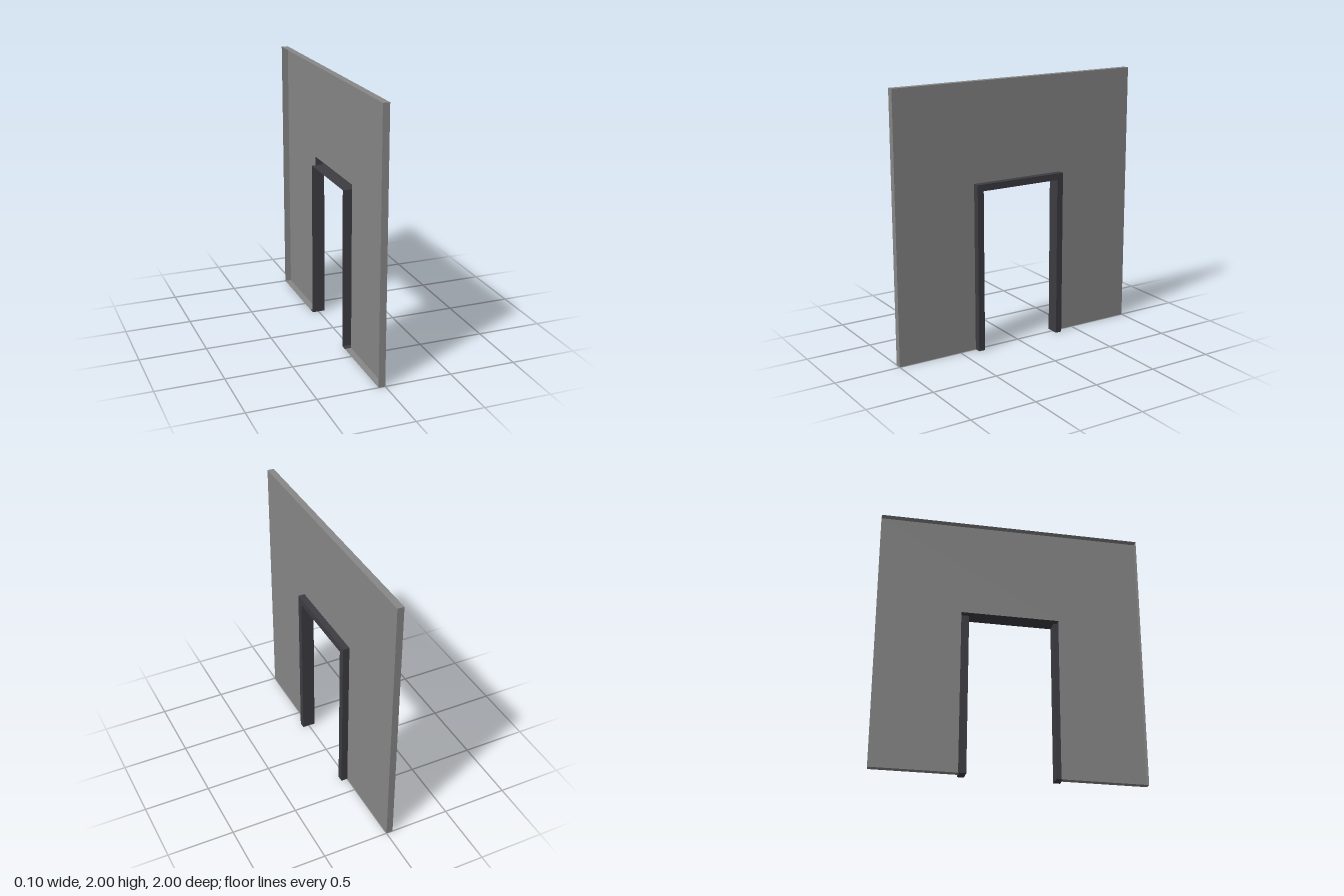
import * as THREE from 'three';

const wallPaint = new THREE.MeshStandardMaterial({ color: 0x878787, side: THREE.DoubleSide });
wallPaint.name = 'wall grey';
const framePaint = new THREE.MeshStandardMaterial({ color: 0x3d3c42, side: THREE.DoubleSide });
framePaint.name = 'frame charcoal';

// Door opening sizes: outer edge of the frame, and clear opening inside it
const OUT_W = 0.37, OUT_H = 1.265, IN_W = 0.32, IN_H = 1.215, DEPTH = 0.05;

// Outline of a doorway: up one side, across, and down the other
const arch = (w, h) => [[w, 0], [w, h], [-w, h], [-w, 0]];

// Flat sheet with the doorway cut out, at depth w
function sheet(outer, opening, w) {
  const points = [...outer, ...opening.slice().reverse()].map(([u, y]) => new THREE.Vector2(u, y));
  return new THREE.ShapeGeometry(new THREE.Shape(points)).translate(0, 0, w);
}

// Open band following a path, running from depth w0 to w1
function band(path, w0, w1) {
  const position = [];
  for (let i = 0; i < path.length - 1; i++) {
    const [a, b] = [path[i], path[i + 1]];
    position.push(...a, w0, ...b, w0, ...b, w1, ...a, w0, ...b, w1, ...a, w1);
  }
  const geometry = new THREE.BufferGeometry();
  geometry.setAttribute('position', new THREE.Float32BufferAttribute(position, 3));
  geometry.computeVertexNormals();
  return geometry;
}

function add(group, name, geometry, material) {
  const mesh = new THREE.Mesh(geometry, material);
  mesh.name = name;
  group.add(mesh);
}

export function createModel() {
  const model = new THREE.Group();
  model.name = 'doorwayWall';

  // Wall: a face sheet with a turned-back rim, open behind
  const wall = new THREE.Group();
  wall.name = 'wall';
  const wallOutline = arch(1, 2);
  add(wall, 'wallFace', sheet(wallOutline, arch(OUT_W, OUT_H), 0), wallPaint);
  add(wall, 'wallRim', band([[OUT_W, 0], ...wallOutline, [-OUT_W, 0]], -DEPTH, 0), wallPaint);

  // Door frame: raised trim, lining through the wall and feet
  const frame = new THREE.Group();
  frame.name = 'doorFrame';
  add(frame, 'trimFace', sheet(arch(OUT_W, OUT_H), arch(IN_W, IN_H), DEPTH), framePaint);
  add(frame, 'trimEdge', band(arch(OUT_W, OUT_H), 0, DEPTH), framePaint);
  add(frame, 'lining', band(arch(IN_W, IN_H).reverse(), -DEPTH, DEPTH), framePaint);
  add(frame, 'footRight', band([[-OUT_W, 0], [-IN_W, 0]], -DEPTH, DEPTH), framePaint);
  add(frame, 'footLeft', band([[IN_W, 0], [OUT_W, 0]], -DEPTH, DEPTH), framePaint);

  // Turn the face of the wall towards +x
  model.add(wall, frame);
  model.rotation.y = Math.PI / 2;
  const root = new THREE.Group();
  root.name = 'wallWithDoorway';
  root.add(model);
  return root;
}
